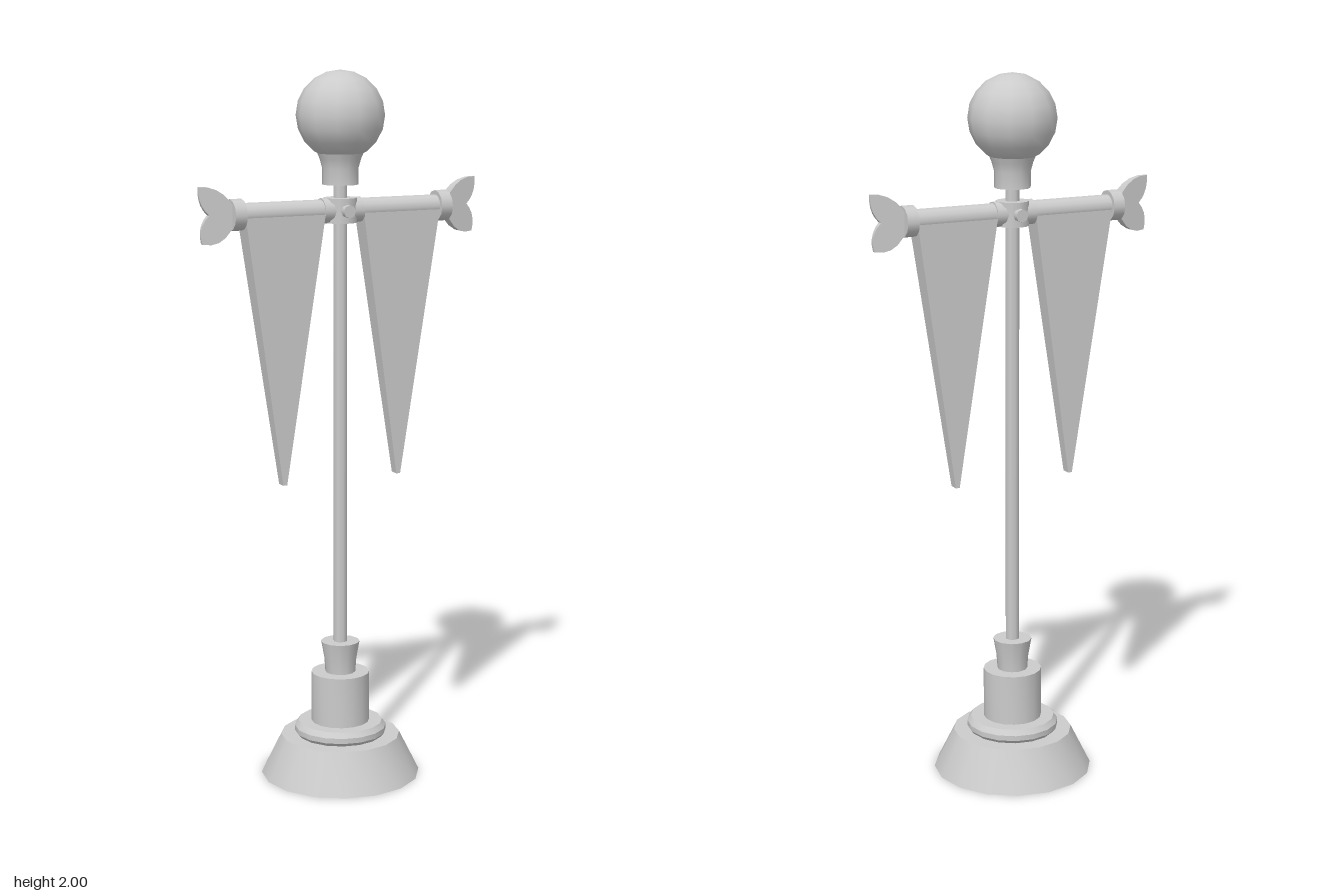
import * as THREE from 'three';
import { toCreasedNormals } from 'three/addons/utils/BufferGeometryUtils.js';

const material = new THREE.MeshStandardMaterial({ color: 0xcccccc });
const openMaterial = new THREE.MeshStandardMaterial({ color: 0xcccccc, side: THREE.DoubleSide });
const BAR_Y = 1.62;

export function createModel() {
  const model = new THREE.Group();

  function add(name, geometry, x = 0, y = 0, z = 0, mat = material) {
    const mesh = new THREE.Mesh(geometry, mat);
    mesh.name = name;
    mesh.position.set(x, y, z);
    model.add(mesh);
    return mesh;
  }

  // Turned part from [radius, height] pairs, with crisp rims
  function turned(name, profile, sides, mat) {
    const points = profile.map(([r, y]) => new THREE.Vector2(r, y));
    return add(name, toCreasedNormals(new THREE.LatheGeometry(points, sides), 0.6), 0, 0, 0, mat);
  }

  // Rod lying along the x axis
  function rodX(name, radius, length, x, sides = 12) {
    const geometry = new THREE.CylinderGeometry(radius, radius, length, sides).rotateZ(Math.PI / 2);
    return add(name, geometry, x, BAR_Y);
  }

  // Hollow flared foot, open underneath
  turned('base', [[0.227, 0], [0.17, 0.115], [0, 0.115]], 16, openMaterial);
  turned('baseRing', [[0.12, 0.112], [0.131, 0.125], [0.131, 0.14], [0.12, 0.155], [0, 0.155]], 16);
  turned('pedestal', [[0.083, 0.13], [0.083, 0.3], [0, 0.3]], 16);
  turned('poleSocket', [[0.043, 0.3], [0.046, 0.34], [0.055, 0.39], [0, 0.39]], 12);

  // Upright pole and its top ornament
  add('pole', new THREE.CylinderGeometry(0.02, 0.02, 1.36, 8), 0, 1.03);
  turned('globeCup', [[0, 1.69], [0.05, 1.69], [0.05, 1.735], [0.057, 1.76], [0.071, 1.793], [0, 1.793]], 12);
  add('globe', new THREE.SphereGeometry(0.122, 12, 10), 0, 1.878);

  // Crossbar with central hub and bolts
  rodX('crossbar', 0.031, 0.62, 0);
  add('hub', new THREE.CylinderGeometry(0.046, 0.046, 0.068, 12), 0, BAR_Y);
  rodX('hubSleeve', 0.035, 0.12, 0);
  const bolt = new THREE.CylinderGeometry(0.018, 0.018, 0.12, 8).rotateX(Math.PI / 2);
  add('hubBolt', bolt, 0, BAR_Y);

  // Two-lobed tail, thick at the bar and thin at its tips
  const tail = new THREE.Shape();
  tail.moveTo(0.32, 0.012);
  tail.quadraticCurveTo(0.355, 0.082, 0.421, 0.078);
  tail.quadraticCurveTo(0.425, 0.03, 0.393, 0.002);
  tail.quadraticCurveTo(0.425, -0.03, 0.412, -0.075);
  tail.quadraticCurveTo(0.35, -0.09, 0.32, -0.012);
  tail.closePath();
  const flat = new THREE.ExtrudeGeometry(tail, { depth: 2, bevelEnabled: false, curveSegments: 5 });
  flat.translate(0, 0, -1);
  const tailPos = flat.attributes.position;
  for (let i = 0; i < tailPos.count; i++) {
    const t = (tailPos.getX(i) - 0.32) / 0.1;
    tailPos.setZ(i, tailPos.getZ(i) * THREE.MathUtils.lerp(0.02, 0.004, t));
  }
  const tailGeometry = toCreasedNormals(flat, 0.5);

  // Wedge pennant, narrowing to a point in width and thickness
  const wedge = new THREE.BoxGeometry(2, 0.755, 2).translate(0, -0.3775, 0);
  const wedgePos = wedge.attributes.position;
  for (let i = 0; i < wedgePos.count; i++) {
    const top = wedgePos.getY(i) > -0.1;
    wedgePos.setX(i, wedgePos.getX(i) * (top ? 0.12 : 0.006));
    wedgePos.setZ(i, wedgePos.getZ(i) * (top ? 0.029 : 0.014));
  }
  const pennantGeometry = toCreasedNormals(wedge, 0.3);

  for (const [side, label] of [[1, 'left'], [-1, 'right']]) {
    rodX(label + 'EndCap', 0.043, 0.034, side * 0.313);
    add(label + 'Pennant', pennantGeometry, side * 0.177, BAR_Y);
    const finial = add(label + 'TailFinial', tailGeometry, 0, BAR_Y);
    if (side < 0) finial.rotation.y = Math.PI;
  }

  return model;
}
